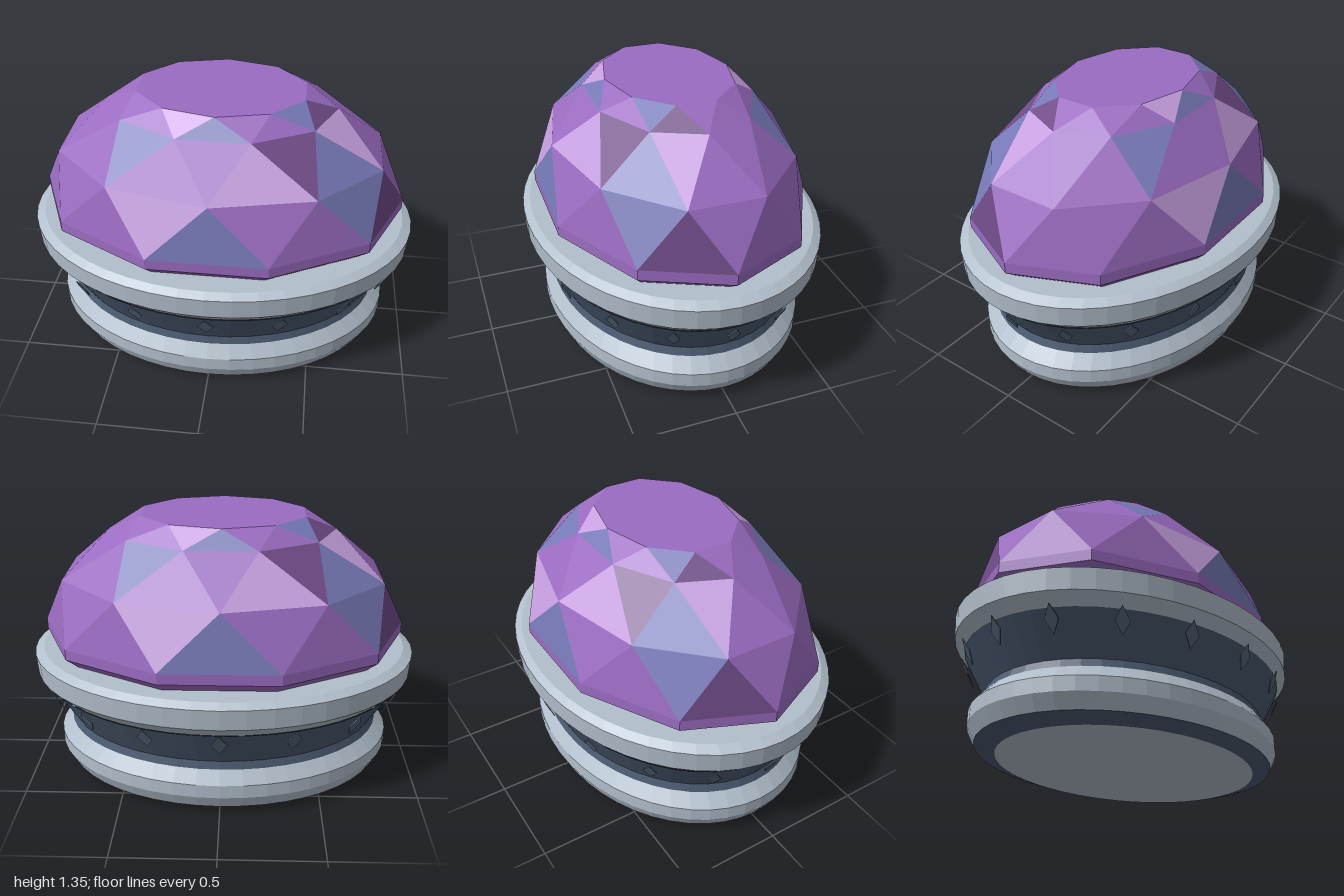
import * as THREE from 'three';

const material = (name, color) => {
  const m = new THREE.MeshStandardMaterial({ color });
  m.name = name;
  return m;
};

// faceted normals
function flat(geometry) {
  const g = geometry.index ? geometry.toNonIndexed() : geometry;
  g.computeVertexNormals();
  return g;
}

function addMesh(parent, name, geometry, mat) {
  const mesh = new THREE.Mesh(geometry, mat);
  mesh.name = name;
  parent.add(mesh);
  return mesh;
}

export function createModel() {
  const silver = material('silver', 0xb2bfcc);
  const slate = material('slate', 0x4a5a70);
  const inlay = material('inlay', 0x54667a);
  const gemColors = {
    p: material('purple', 0x9b6cc2),
    l: material('lilac', 0xc69fdf),
    b: material('blue', 0x777ab8),
    d: material('plum', 0x704b88),
  };

  const model = new THREE.Group();
  model.name = 'gemOnStand';

  // Oval stand: turned rings squashed in depth
  const stand = new THREE.Group();
  stand.name = 'stand';
  stand.scale.z = 0.755;
  model.add(stand);
  const ring = (name, mat, points) => addMesh(stand, name, flat(
    new THREE.LatheGeometry(points.map(([r, y]) => new THREE.Vector2(r, y)), 48)), mat);
  ring('bottomPlate', silver, [[0, 0], [0.74, 0]]);
  ring('bottomBevel', slate, [[0.74, 0], [0.85, 0.03]]);
  ring('footRing', silver, [[0.85, 0.03], [0.89, 0.1], [0.89, 0.17], [0.83, 0.235]]);
  ring('waist', slate, [[0.83, 0.235], [0.815, 0.275], [0.935, 0.47]]);
  ring('topRing', silver, [[0.93, 0.47], [0.99, 0.525], [0.998, 0.63], [0.95, 0.655], [0.6, 0.655]]);

  // Diamond inlays around the waist
  const diamond = new THREE.Shape([[0, -0.068], [0.04, 0], [0, 0.068], [-0.04, 0]]
    .map(([x, y]) => new THREE.Vector2(x, y)));
  const plate = new THREE.ExtrudeGeometry(diamond, { depth: 0.006, bevelEnabled: false });
  plate.rotateX(0.5).translate(0, 0.42, 0.925);
  for (let i = 0; i < 16; i++) {
    addMesh(stand, 'diamondInlay', plate, inlay).rotation.y = i * Math.PI / 8;
  }

  // Gem: ten-sided rings, alternate ones turned half a step
  const N = 10;
  const gem = new THREE.Group();
  gem.name = 'gem';
  model.add(gem);
  const ringPoints = (rx, rz, y, turn) => (k) => {
    const a = (k + turn) * 2 * Math.PI / N;
    return [rx * Math.cos(a), y, rz * Math.sin(a)];
  };
  const base = ringPoints(0.87, 0.63, 0.65, 0);
  const girdleLow = ringPoints(0.94, 0.683, 0.705, 0);
  const girdle = ringPoints(0.94, 0.683, 0.76, 0);
  const middle = ringPoints(0.842, 0.597, 1.04, 0.5);
  const upper = ringPoints(0.57, 0.41, 1.265, 0);
  const table = ringPoints(0.43, 0.317, 1.35, 0.5);

  const faces = { p: [], l: [], b: [], d: [] };
  const tri = (color, ...corners) => faces[color].push(...corners.flat());

  for (let k = 0; k < N; k++) {
    const c = (pattern) => pattern[k % 5];
    // straight band and underside bevel
    for (const [lo, hi] of [[base, girdleLow], [girdleLow, girdle]]) {
      tri('p', lo(k), hi(k), hi(k + 1));
      tri('p', lo(k), hi(k + 1), lo(k + 1));
    }
    // lower facets
    tri(c('dpbpp'), girdle(k), middle(k), girdle(k + 1));
    tri(c('pbplp'), middle(k - 1), middle(k), girdle(k));
    // middle facets
    tri(c('pblpp'), middle(k - 1), upper(k), middle(k));
    tri(c('ldpbp'), upper(k), upper(k + 1), middle(k));
    // upper facets
    tri(c('dpbpp'), upper(k), table(k), upper(k + 1));
    tri(c('pbplp'), table(k - 1), table(k), upper(k));
    // flat top and closed bottom
    tri('p', [0, 1.35, 0], table(k + 1), table(k));
    tri('p', [0, 0.65, 0], base(k), base(k + 1));
  }
  for (const key in faces) {
    const g = new THREE.BufferGeometry();
    g.setAttribute('position', new THREE.Float32BufferAttribute(faces[key], 3));
    addMesh(gem, gemColors[key].name + 'Facets', flat(g), gemColors[key]);
  }
  return model;
}
